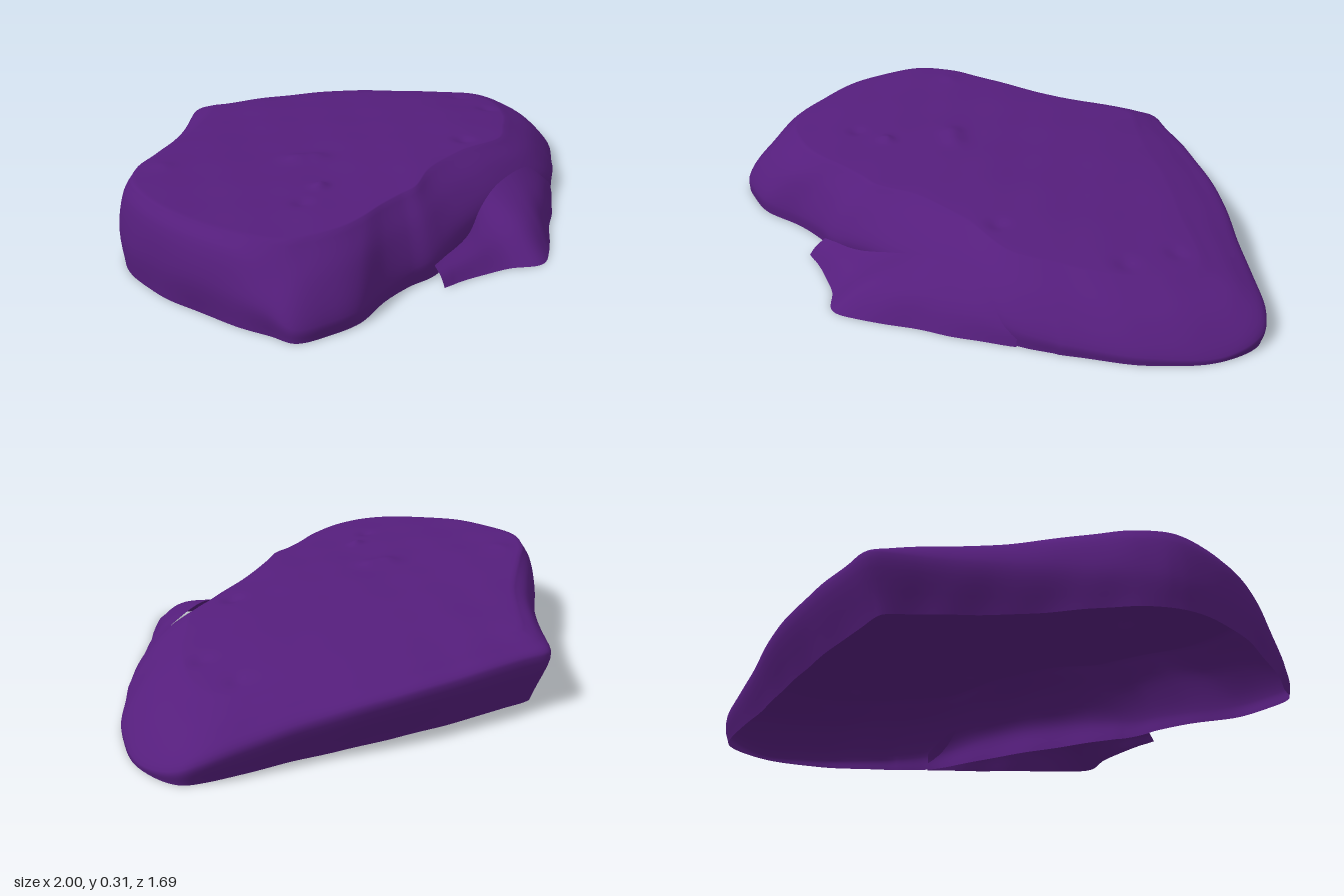
import * as THREE from 'three';

const V = (x, y, z) => new THREE.Vector3(x, y, z);

// Slab rim, clockwise from the back corner: x, z, height of widest point, base inset, shoulder inset
const RIM = [
  [-0.44, -0.81, 0.2, 0.07, 0.12], [-0.405, -0.832, 0.2, 0.08, 0.14], [-0.3, -0.835, 0.2, 0.08, 0.16],
  [-0.1, -0.848, 0.2, 0.08, 0.19], [0.2, -0.842, 0.185, 0.08, 0.2], [0.55, -0.785, 0.14, 0.06, 0.22],
  [0.87, -0.738, 0.08, 0.03, 0.25], [0.95, -0.69, 0.05, 0.01, 0.27], [0.998, -0.54, 0.02, 0, 0.28],
  [0.95, -0.28, 0.03, 0, 0.27], [0.86, -0.1, 0.04, 0, 0.25], [0.73, 0.1, 0.06, 0, 0.22],
  [0.45, 0.28, 0.11, 0.01, 0.2], [0.13, 0.48, 0.1, 0.01, 0.18], [-0.05, 0.6, 0.07, 0, 0.17],
  [-0.15, 0.63, 0.06, 0, 0.17], [-0.27, 0.69, 0.05, 0, 0.19], [-0.42, 0.8, 0.05, 0, 0.25],
  [-0.54, 0.835, 0.05, 0, 0.25], [-0.66, 0.835, 0.05, 0, 0.24], [-0.72, 0.76, 0.09, 0.01, 0.16],
  [-0.8, 0.63, 0.12, 0.01, 0.1], [-0.945, 0.36, 0.13, 0.01, 0.06], [-0.995, 0.06, 0.11, 0.01, 0.05],
  [-0.95, -0.08, 0.12, 0.02, 0.06], [-0.87, -0.2, 0.13, 0.03, 0.08], [-0.65, -0.47, 0.16, 0.05, 0.09],
  [-0.53, -0.66, 0.18, 0.06, 0.1],
];

// Pebbles and pits on the top: x, z, radius, height
const MARKS = [
  [-0.33, 0.06, 0.06, 0.014], [-0.26, 0.07, 0.06, 0.012], [-0.35, 0.32, 0.035, 0.016],
  [-0.46, 0.42, 0.04, -0.01], [0.35, 0.07, 0.05, -0.012], [0.33, 0.2, 0.04, -0.01],
  [0.66, -0.3, 0.05, -0.01], [0.63, -0.5, 0.05, -0.008], [-0.02, -0.78, 0.06, -0.008], [-0.8, -0.05, 0.05, 0.006],
];

const lumps = (x, y, z) =>
  0.5 * Math.sin(9 * x + 4 * z + 6 * y) * Math.sin(7 * z - 3 * x + 1) +
  0.3 * Math.sin(19 * x - 11 * z + 15 * y + 2) * Math.sin(17 * z + 8 * x);

function topHeight(x, z) {
  let y = 0.286 - 0.025 * x - 0.09 * Math.max(0, x) ** 2 - 0.06 * z * z;
  for (const [mx, mz, r, h] of MARKS) y += h * Math.exp(-(((x - mx) ** 2 + (z - mz) ** 2) / (r * r)) * 2);
  return y;
}

// Smooth surface over a grid of points; closed joins the last column to the first
function gridSurface(columns, closed) {
  const n = columns.length, m = columns[0].length, index = [];
  for (let i = 0; i < (closed ? n : n - 1); i++) {
    for (let j = 0; j < m - 1; j++) {
      const a = i * m + j, b = ((i + 1) % n) * m + j;
      index.push(a, a + 1, b, b, a + 1, b + 1);
    }
  }
  const geometry = new THREE.BufferGeometry().setFromPoints(columns.flat());
  geometry.setIndex(index);
  geometry.computeVertexNormals();
  return geometry;
}

// Rough the surface up, keeping the base edge flat on the ground
function roughen(p) {
  const d = lumps(p.x, p.y, p.z);
  const side = 1 - Math.min(1, p.y / 0.25);
  p.x += 0.008 * d * side * Math.sign(p.x);
  p.z += 0.008 * d * side * Math.sign(p.z);
  p.y += 0.004 * d * Math.min(1, p.y / 0.1);
  return p;
}

function slabGeometry() {
  const inset = (x, z, d) => {
    const k = 1 - d / Math.hypot(x, z);
    return [x * k, z * k];
  };
  // Four closed loops: base, widest line, rounded edge, shoulder
  const loops = [[], [], [], []];
  for (const [x, z, e, b, t] of RIM) {
    const [bx, bz] = inset(x, z, b), [mx, mz] = inset(x, z, t * 0.4), [sx, sz] = inset(x, z, t);
    const top = topHeight(sx, sz) - 0.004;
    // Narrow edges are squarer, wide ones slope off
    const fullness = t < 0.11 ? 0.72 : 0.56;
    loops[0].push(V(bx, 0, bz));
    loops[1].push(V(x, e, z));
    loops[2].push(V(mx, e + (top - e) * fullness, mz));
    loops[3].push(V(sx, top, sz));
  }
  const curves = loops.map((points) => new THREE.CatmullRomCurve3(points, true));
  const columns = [];
  for (let i = 0; i < 280; i++) {
    const corners = curves.map((c) => c.getPoint(i / 280));
    const column = new THREE.CatmullRomCurve3(corners).getPoints(18);
    const s = corners[3], drop = s.y - topHeight(s.x, s.z);
    for (let j = 1; j <= 50; j++) {
      const k = 1 - j / 50, x = s.x * k, z = s.z * k;
      column.push(V(x, topHeight(x, z) + drop * k ** 8, z));
    }
    columns.push(column.map(roughen));
  }
  return gridSurface(columns, true);
}

// Broken piece leaning on the front edge: foot, bulge and upper edge, listed right to left
function fragmentGeometry() {
  const foot = [[0.73, 0, 0.11], [0.62, 0, 0.29], [0.52, 0, 0.44], [0.42, 0, 0.6], [0.34, 0, 0.67], [0.22, 0, 0.65], [0.1, 0, 0.66], [-0.05, 0, 0.69]];
  const upper = [[0.71, 0.07, 0.1], [0.62, 0.13, 0.14], [0.53, 0.16, 0.2], [0.43, 0.172, 0.27], [0.33, 0.165, 0.34], [0.23, 0.13, 0.42], [0.12, 0.095, 0.53], [-0.06, 0.06, 0.63]];
  const bulge = foot.map((f, i) => {
    const u = upper[i];
    return [f[0] * 0.6 + u[0] * 0.4, u[1] * 0.55, f[2] * 0.6 + u[2] * 0.4];
  });
  const curves = [foot, bulge, upper].map((pts) => new THREE.CatmullRomCurve3(pts.map((p) => V(...p))));
  const columns = [];
  for (let i = 0; i <= 80; i++) {
    const corners = curves.map((c) => c.getPoint(i / 80));
    columns.push(new THREE.CatmullRomCurve3(corners).getPoints(20).map(roughen));
  }
  return gridSurface(columns, false);
}

export function createModel() {
  const group = new THREE.Group();
  group.name = 'flatRock';
  const material = new THREE.MeshStandardMaterial({ color: 0x551e7c, side: THREE.DoubleSide });
  const parts = { rockSlab: slabGeometry(), brokenFragment: fragmentGeometry() };
  for (const [name, geometry] of Object.entries(parts)) {
    const mesh = new THREE.Mesh(geometry, material);
    mesh.name = name;
    group.add(mesh);
  }
  return group;
}
